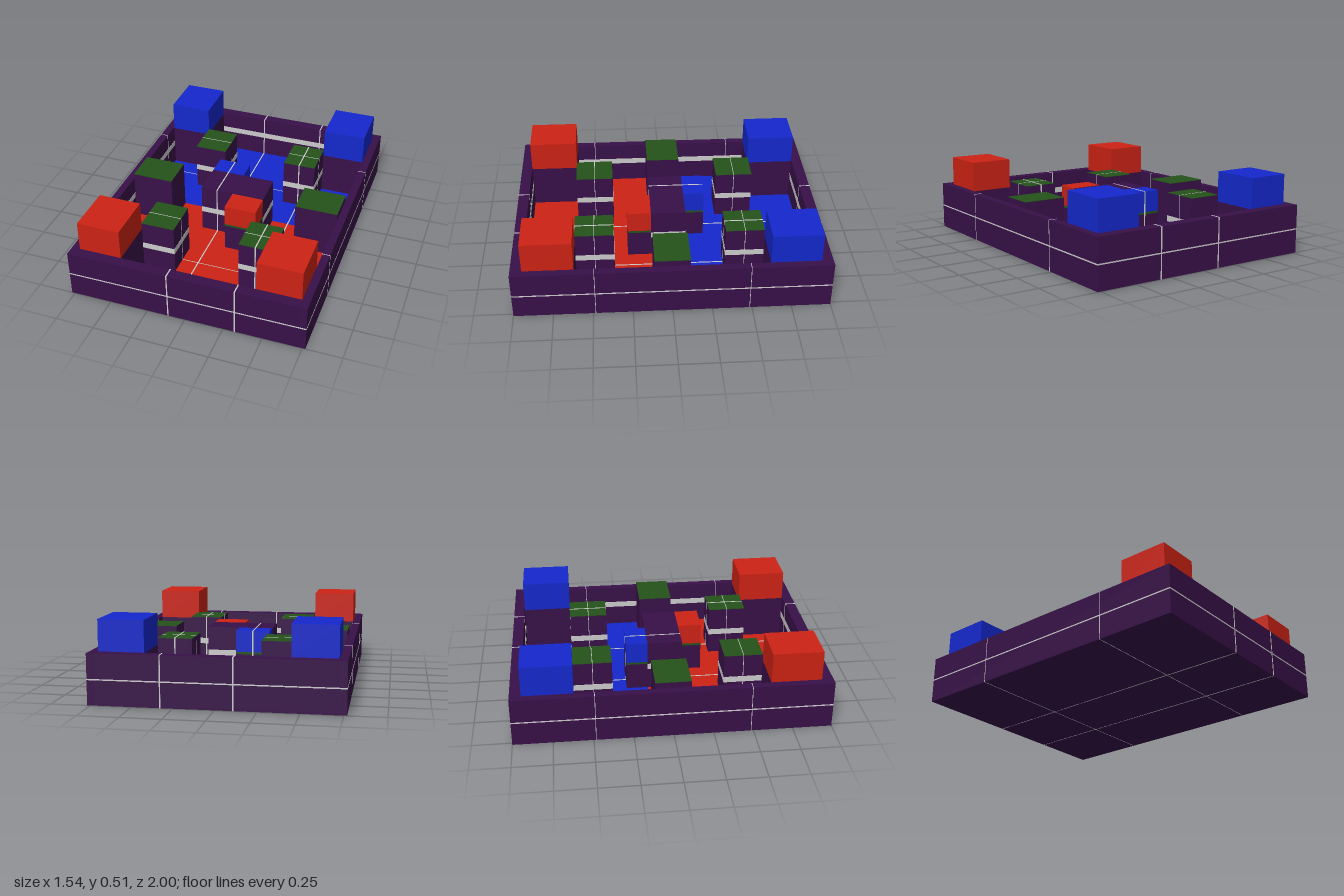
import * as THREE from 'three';

export function createModel() {
  const model = new THREE.Group();
  const mat = (color) => new THREE.MeshStandardMaterial({ color, flatShading: true });
  const purple = mat(0x381048), red = mat(0xcc2214), blue = mat(0x1428cc);
  const green = mat(0x24521a), grey = mat(0xcccccc);

  // Box given by its minimum and maximum on each axis
  function box(name, x0, x1, y0, y1, z0, z1, material) {
    const mesh = new THREE.Mesh(new THREE.BoxGeometry(x1 - x0, y1 - y0, z1 - z0), material);
    mesh.position.set((x0 + x1) / 2, (y0 + y1) / 2, (z0 + z1) / 2);
    mesh.name = name;
    model.add(mesh);
    return mesh;
  }

  // Seam lines: thin slabs just proud of a block where the grid planes cut it
  const E = 0.0015, W = 0.004;
  const seamX = [-0.11, 0.325], seamZ = [-0.485, 0.485];
  function seams(x0, x1, y0, y1, z0, z1) {
    for (const x of seamX) if (x > x0 && x < x1)
      box('seamAcross', x - W, x + W, y0, y1 + E, z0 - E, z1 + E, grey);
    for (const z of seamZ) if (z > z0 && z < z1)
      box('seamAlong', x0 - E, x1 + E, y0, y1 + E, z - W / 2, z + W / 2, grey);
  }

  // Tray base and the two halves of the floor
  box('base', -0.77, 0.77, 0, 0.012, -1, 1, purple);
  box('redFloor', -0.72, 0.72, 0.012, 0.02, -0.115, 0.93, red);
  box('blueFloor', -0.72, 0.72, 0.012, 0.02, -0.93, -0.115, blue);
  seams(-0.72, 0.72, 0, 0.02, -0.93, 0.93);

  // Outer walls with seams and a horizontal line outside, a wider band inside
  const H = 0.315, MID = 0.157;
  for (const s of [-1, 1]) {
    const sideX = [s * 0.72, s * 0.77].sort((a, b) => a - b);
    const endZ = [s * 0.93, s * 1].sort((a, b) => a - b);
    box('sideWall', ...sideX, 0, H, -1, 1, purple);
    box('endWall', -0.72, 0.72, 0, H, ...endZ, purple);
    seams(...sideX, 0, H, -1, 1);
    seams(-0.72, 0.72, 0, H, ...endZ);
    box('sideWallLine', s * 0.77 - E, s * 0.77 + E, MID - W, MID + W, -1, 1, grey);
    box('endWallLine', -0.77, 0.77, MID - W, MID + W, s - E, s + E, grey);
    box('sideWallBand', s * 0.72 - E, s * 0.72 + E, 0.16, 0.2, -0.93, 0.93, grey);
    box('endWallBand', -0.72, 0.72, 0.16, 0.2, s * 0.93 - E, s * 0.93 + E, grey);
  }

  // Purple block with a grey band and an optional coloured cap
  function pillar(name, x0, x1, z0, z1, top, cap) {
    box(name, x0, x1, 0.012, top - 0.003, z0, z1, purple);
    box(name + 'Cap', x0, x1, top - 0.003, top, z0, z1, cap);
    box(name + 'Band', x0 - E, x1 + E, 0.16, 0.2, z0 - E, z1 + E, grey);
    seams(x0, x1, 0.012, top, z0, z1);
  }
  const TOP = 0.355;
  for (const sx of [-1, 1]) {
    const px = sx < 0 ? [-0.44, -0.22] : [0.215, 0.435];
    const wx = sx < 0 ? [-0.718, -0.44] : [0.435, 0.718];
    for (const sz of [-1, 1]) {
      // Free-standing pillar
      const pz = sz < 0 ? [-0.61, -0.36] : [0.36, 0.61];
      pillar('pillar', ...px, ...pz, TOP, green);
      // Corner tower with its team cube
      const cz = sz < 0 ? [-0.928, -0.61] : [0.61, 0.928];
      box('cornerColumn', ...wx, 0.012, 0.31, ...cz, purple);
      box('cornerCube', ...wx, 0.31, 0.51, ...cz, sz < 0 ? blue : red);
    }
    // Block against the side wall
    box('sideBlock', ...wx, 0.012, TOP - 0.003, -0.113, 0.113, purple);
    box('sideBlockCap', ...wx, TOP - 0.003, TOP, -0.113, 0.113, green);
  }

  // Centre block with one small team block on each long face
  pillar('centreBlock', -0.22, 0.213, -0.115, 0.113, TOP, purple);
  function teamBlock(name, x0, x1, z0, z1, material) {
    box(name + 'Support', x0, x1, 0.012, 0.2, z0, z1, purple);
    box(name + 'Ledge', x0, x1, 0.2, 0.215, z0, z1, green);
    box(name, x0, x1, 0.215, TOP, z0, z1, material);
    seams(x0, x1, 0.012, TOP, z0, z1);
  }
  teamBlock('redBlock', 0, 0.213, 0.113, 0.27, red);
  teamBlock('blueBlock', -0.22, 0, -0.255, -0.115, blue);

  // Seams on the underside
  for (const x of seamX) box('underSeam', x - W / 2, x + W / 2, -0.001, 0.002, -1, 1, grey);
  for (const z of seamZ) box('underSeam', -0.77, 0.77, -0.001, 0.002, z - W / 2, z + W / 2, grey);

  return model;
}
